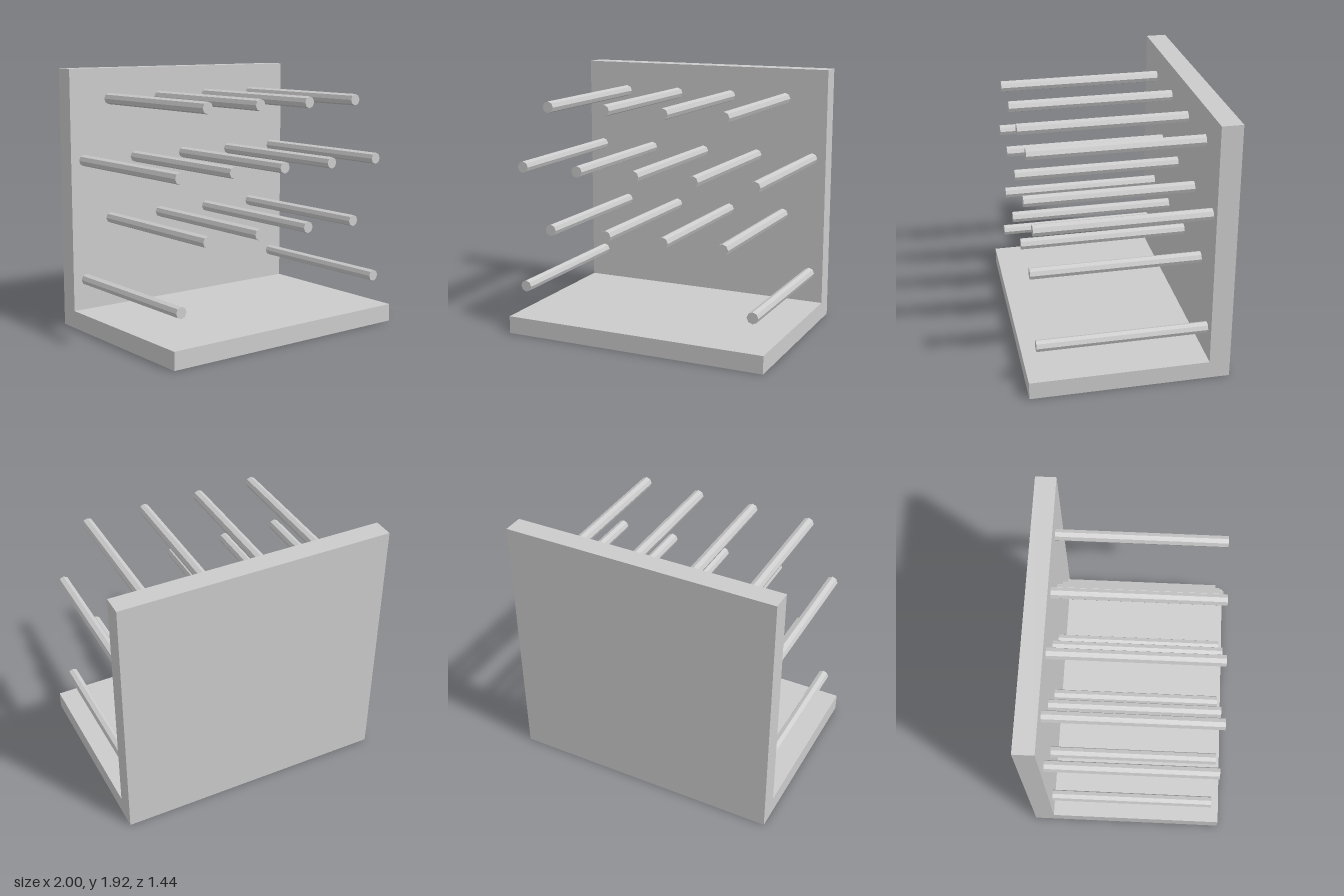
import * as THREE from 'three';

export function createModel() {
  const model = new THREE.Group();
  const material = new THREE.MeshStandardMaterial({ color: 0xcccccc, flatShading: true });

  // L-shaped stand: side profile (z, y) extruded across the width
  const profile = new THREE.Shape([
    [-0.72, 0], [0.72, 0], [0.72, 0.13], [-0.57, 0.13], [-0.57, 1.92], [-0.72, 1.92],
  ].map(([z, y]) => new THREE.Vector2(z, y)));
  const standGeometry = new THREE.ExtrudeGeometry(profile, { depth: 2, bevelEnabled: false });
  standGeometry.translate(0, 0, -1).rotateY(-Math.PI / 2);
  const stand = new THREE.Mesh(standGeometry, material);
  stand.name = 'stand';
  model.add(stand);

  // Eight-sided pegs in staggered rows; columns count in half steps from the centre
  const back = -0.57, front = 0.65, step = 0.223;
  const pegGeometry = new THREE.CylinderGeometry(0.042, 0.042, front - back, 8)
    .rotateX(Math.PI / 2);
  const rows = [
    { y: 1.695, columns: [-3, -1, 1, 3] },
    { y: 1.25, columns: [-4, -2, 0, 2, 4] },
    { y: 0.803, columns: [-3, -1, 1, 3] },
    { y: 0.357, columns: [-4, 4] },
  ];
  const pegs = new THREE.Group();
  pegs.name = 'pegs';
  for (const { y, columns } of rows) {
    for (const column of columns) {
      const peg = new THREE.Mesh(pegGeometry, material);
      peg.name = 'peg';
      peg.position.set(column * step, y, (back + front) / 2);
      pegs.add(peg);
    }
  }
  model.add(pegs);
  return model;
}
